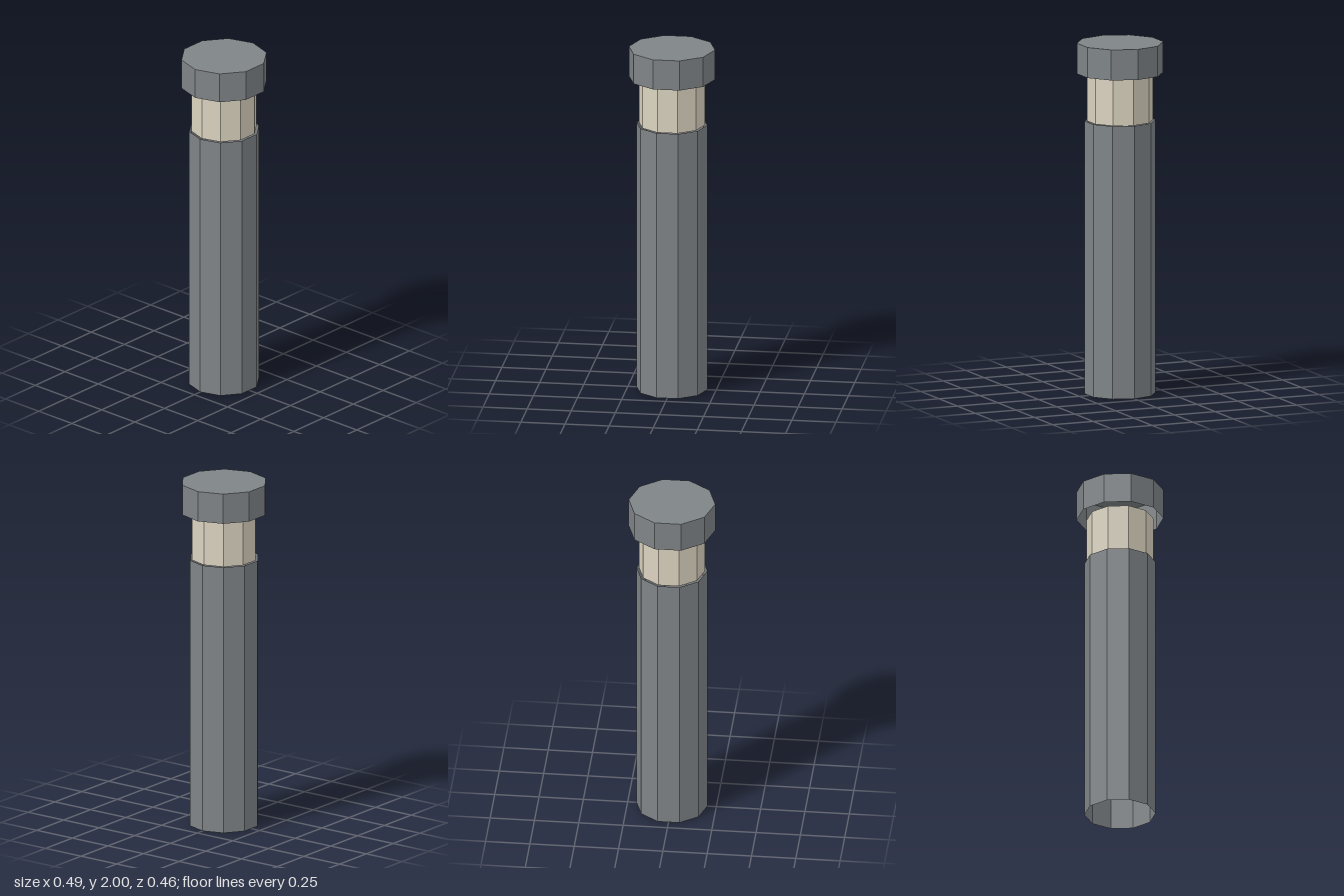
import * as THREE from 'three';

export function createModel() {
  const model = new THREE.Group();
  const mat = (name, color) => {
    const m = new THREE.MeshStandardMaterial({ color, side: THREE.DoubleSide, flatShading: true });
    m.name = name;
    return m;
  };
  const grey = mat('grey metal', 0x7f8487);
  const beige = mat('pale beige', 0xdbd3c0);

  // Open ten-sided tube with corners on the x axis
  const SIDES = 10;
  function tube(name, radius, bottom, top, material) {
    const geo = new THREE.CylinderGeometry(radius, radius, top - bottom, SIDES, 1, true, Math.PI / 2);
    const mesh = new THREE.Mesh(geo, material);
    mesh.name = name;
    mesh.position.y = (top + bottom) / 2;
    return mesh;
  }

  // Hollow shaft and the paler neck above it
  model.add(tube('shaft', 0.2, 0, 1.556, grey));
  model.add(tube('neck', 0.187, 1.556, 1.826, beige));

  // Cap: a wall open underneath, closed by a flat lid
  const cap = new THREE.Group();
  cap.name = 'cap';
  cap.add(tube('capWall', 0.244, 1.826, 2, grey));
  const lid = new THREE.Mesh(new THREE.CircleGeometry(0.244, SIDES), grey);
  lid.name = 'capLid';
  lid.rotation.x = -Math.PI / 2;
  lid.position.y = 2;
  cap.add(lid);
  model.add(cap);

  return model;
}
